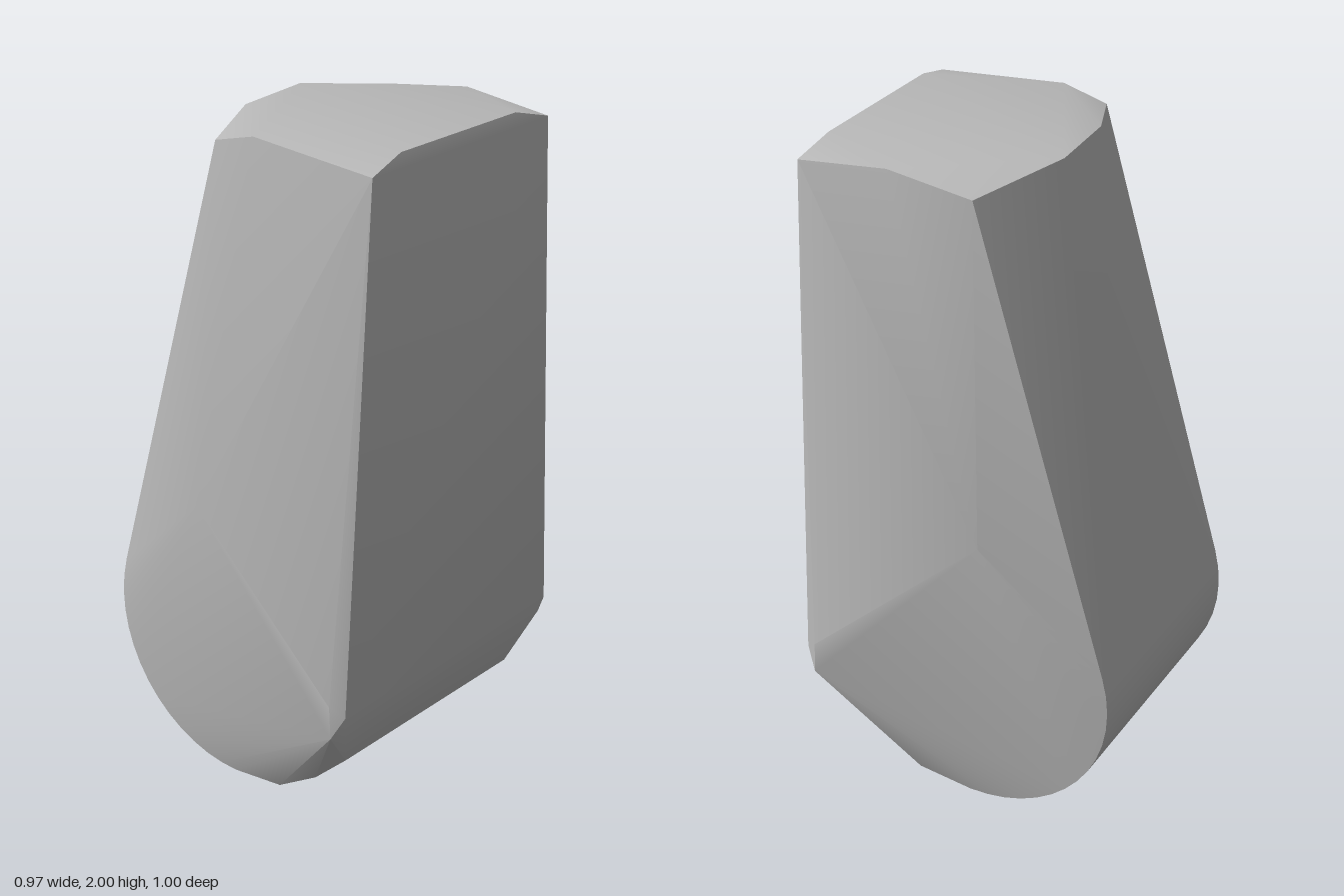
import * as THREE from 'three';
import { ConvexGeometry } from 'three/addons/geometries/ConvexGeometry.js';
import { toCreasedNormals } from 'three/addons/utils/BufferGeometryUtils.js';

export function createModel() {
  const group = new THREE.Group();
  group.name = 'taperedBlock';
  const grey = new THREE.MeshStandardMaterial({ color: 0xb8b8b8 });
  grey.name = 'stoneGrey';

  const points = [];
  const add = (x, y, z) => points.push(new THREE.Vector3(x, y, z));
  const addPair = (x, y, z) => { add(x, y, z); add(x, y, -z); };

  // Rounded foot: an arc swept between the two sides
  for (let i = 0; i <= 14; i++) {
    const a = Math.PI * (0.91 + (0.6 * i) / 14);
    addPair(-0.04 + 0.445 * Math.cos(a), 0.445 + 0.445 * Math.sin(a), 0.383);
  }
  for (const [x, y] of [[0.15, 0.02], [0.29, 0.105], [0.405, 0.21]]) addPair(x, y, 0.383);

  // Widest ridges of the front and back
  add(-0.05, 0.92, 0.5);
  add(-0.13, 0.97, -0.5);
  addPair(0.445, 0.35, 0.498);
  addPair(0.44, 0.45, 0.498);
  addPair(0.48, 0.42, 0.475);

  // Slightly domed top
  addPair(-0.06, 1.962, 0.383);
  addPair(0.485, 1.965, 0.383);
  add(0.08, 1.998, 0.386);
  add(0.2, 1.998, -0.386);
  add(-0.158, 1.995, 0.155);
  add(-0.18, 2, -0.1);
  add(0.47, 2, 0.25);
  add(0.47, 2, -0.25);

  const body = new THREE.Mesh(toCreasedNormals(new ConvexGeometry(points), 0.5), grey);
  body.name = 'body';
  group.add(body);
  return group;
}
